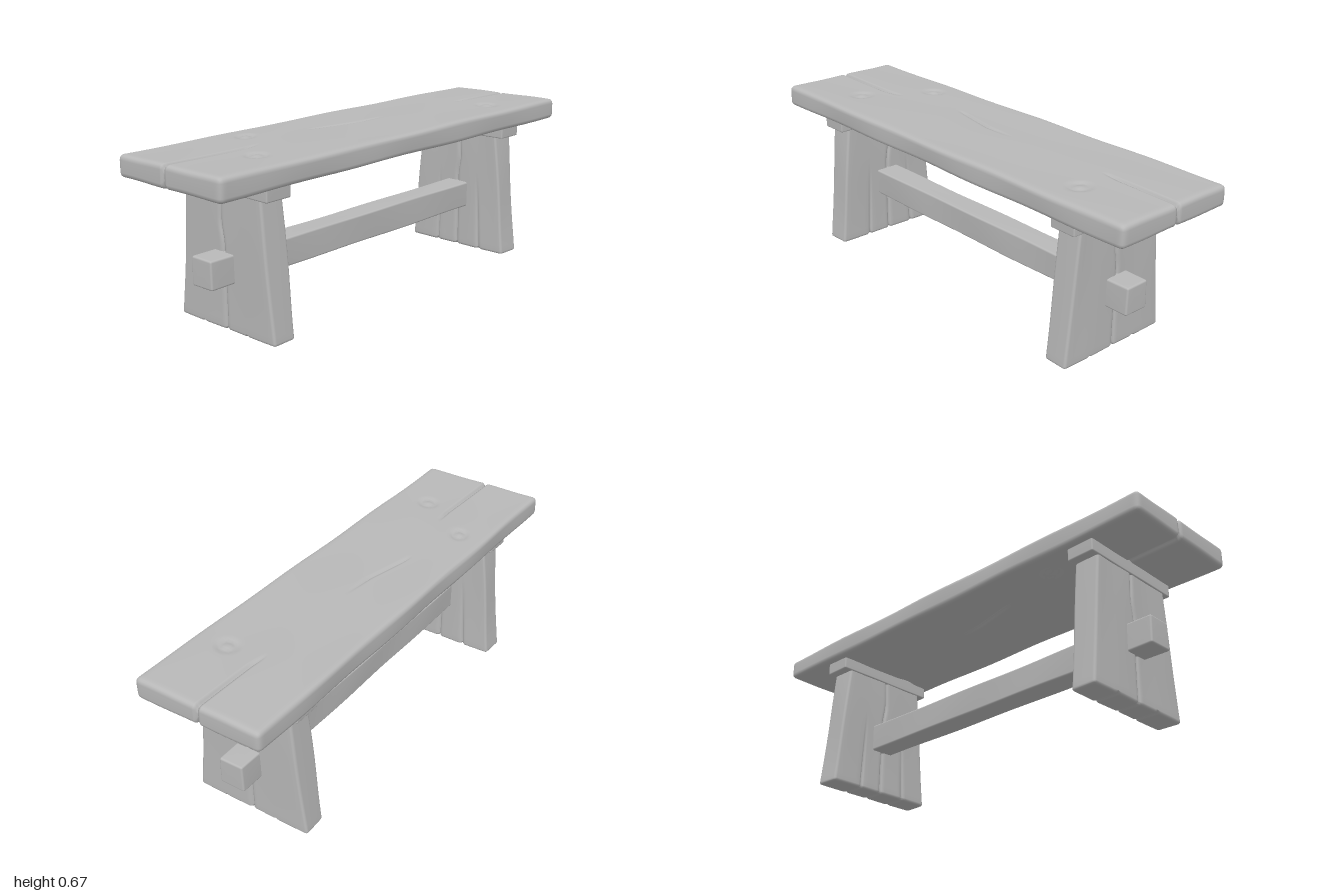
import * as THREE from 'three';
import { mergeVertices } from 'three/addons/utils/BufferGeometryUtils.js';

const wood = new THREE.MeshStandardMaterial({ color: 0xb8b8b8 });
wood.name = 'plain wood';

// Grid lines along one axis: tight at the rounded edges and beside the cracks
function stations(half, r, step, cracks = []) {
  const inner = half - r, n = Math.max(1, Math.round((2 * inner) / step));
  const near = (v) => cracks.some((c) => Math.abs(v - c) < 0.014);
  const list = [-half, -half + r * 0.5, half - r * 0.5, half];
  for (let i = 0; i <= n; i++) {
    const v = -inner + (2 * inner * i) / n;
    if (!near(v)) list.push(v);
  }
  for (const c of cracks) list.push(c - 0.014, c - 0.006, c, c + 0.006, c + 0.014);
  return list.sort((a, b) => a - b);
}

// Piecewise-linear lookup in rows of [x, sideways shift, depth]
function along(rows, x) {
  for (let i = 1; i < rows.length; i++) {
    if (x > rows[i][0] && i < rows.length - 1) continue;
    const a = rows[i - 1], b = rows[i];
    const t = THREE.MathUtils.clamp((x - a[0]) / (b[0] - a[0]), 0, 1);
    return [a[1] + (b[1] - a[1]) * t, a[2] + (b[2] - a[2]) * t];
  }
  return [0, 0];
}

// Worn plank: length on x, thickness on y, width on z
function plank(name, size, { r = 0.015, step = 0.03, cracks = [], knots = [], wear = 0.002, topScale = 1 } = {}) {
  const half = size.map((s) => s / 2);
  const lines = [stations(half[0], r, step), stations(half[1], r, 0.04),
    stations(half[2], r, step, cracks.map((c) => c.z))];
  const counts = lines.map((l) => l.length - 1);
  let geo = new THREE.BoxGeometry(2, 2, 2, ...counts);
  geo.deleteAttribute('normal');
  geo.deleteAttribute('uv');
  const pos = geo.attributes.position;
  const p = new THREE.Vector3(), core = new THREE.Vector3();
  const lim = new THREE.Vector3(...half).subScalar(r);
  for (let i = 0; i < pos.count; i++) {
    p.fromBufferAttribute(pos, i);
    p.set(...[p.x, p.y, p.z].map((v, k) => lines[k][Math.round(((v + 1) / 2) * counts[k])]));
    const [x, y, z] = [p.x, p.y, p.z];
    // rounded edges
    core.copy(p).clamp(lim.clone().negate(), lim);
    p.sub(core).setLength(r).add(core);
    // gentle waves from wear
    p.y += Math.sign(y) * wear * Math.sin(x * 7 + z * 9) * Math.cos(z * 13 - x * 3);
    p.z += Math.sign(z) * wear * Math.sin(x * 11 + y * 20) * Math.min(1, Math.abs(z) / half[2]);
    // cracks, cut into the faces and the plank ends
    for (const c of cracks) {
      const [shift, depth] = along(c.rows, x);
      p.z += shift * Math.max(0, 1 - Math.abs(z - c.z) / half[2]);
      const gap = Math.abs(z - c.z);
      const cut = gap < 0.001 ? depth : gap < 0.007 ? depth * 0.25 : 0;
      if (!(c.topOnly && y < 0)) p.y -= Math.sign(y) * Math.min(cut, Math.abs(p.y));
      if (Math.abs(x) > half[0] - r) p.x -= Math.sign(x) * cut * 0.5;
    }
    // ring-shaped knots
    if (Math.abs(y) > half[1] - r) for (const [kx, kz] of knots) {
      const d = Math.hypot(x - kx, z - kz);
      if (d < 0.06) p.y -= Math.sign(y) * 0.007 * Math.exp(-(((d - 0.03) / 0.012) ** 2));
    }
    // taper towards +x
    p.z *= 1 + (topScale - 1) * (x / size[0] + 0.5);
    pos.setXYZ(i, p.x, p.y, p.z);
  }
  geo = mergeVertices(geo, 1e-5);
  geo.computeVertexNormals();
  const mesh = new THREE.Mesh(geo, wood);
  mesh.name = name;
  return mesh;
}

export function createModel() {
  const bench = new THREE.Group();
  bench.name = 'bench';

  // Seat with end splits, a slanting middle crack and knots
  const seat = plank('seat', [2, 0.087, 0.55], {
    r: 0.02, step: 0.0125,
    cracks: [{ z: 0, rows: [[-1, -0.02, 0.025], [-0.65, -0.012, 0.015], [-0.56, -0.02, 0], [-0.24, -0.085, 0],
      [-0.18, -0.075, 0.008], [0, -0.035, 0.01], [0.15, -0.025, 0], [0.64, -0.025, 0], [0.72, -0.015, 0.014], [1, -0.008, 0.025]] }],
    knots: [[-0.5, -0.14], [-0.68, 0.11], [0.67, 0.14]],
  });
  seat.position.y = 0.628;
  bench.add(seat);

  // Two tapered legs, each with a cleat under the seat
  for (const side of [1, -1]) {
    const support = new THREE.Group();
    support.name = side > 0 ? 'leftSupport' : 'rightSupport';
    const sideRows = [[-0.3, 0, 0.014], [-0.1, 0, 0.006], [0.05, 0, 0]];
    const leg = plank('leg', [0.59, 0.108, 0.514], {
      r: 0.012, step: 0.025, topScale: 0.765,
      cracks: [
        { z: 0, rows: [[-0.3, 0, 0.014], [-0.1, 0, 0.01], [0.05, 0, 0.012], [0.12, 0.015, 0.012], [0.25, 0.008, 0.01], [0.3, 0, 0.008]] },
        { z: 0.125, rows: sideRows, topOnly: true },
        { z: -0.11, rows: sideRows, topOnly: true },
      ],
    });
    leg.rotation.z = Math.PI / 2;
    leg.position.y = 0.299;
    const cleat = plank('cleat', [0.118, 0.06, 0.482], { r: 0.006, wear: 0.001 });
    cleat.position.y = 0.565;
    support.add(leg, cleat);
    support.position.x = side > 0 ? 0.697 : -0.707;
    support.rotation.y = side > 0 ? 0 : Math.PI;
    bench.add(support);
  }

  // Stretcher beam passing through both legs
  const beam = plank('stretcher', [1.72, 0.114, 0.108], { r: 0.008, wear: 0.0015 });
  beam.position.set(-0.008, 0.252, 0);
  bench.add(beam);

  return bench;
}
